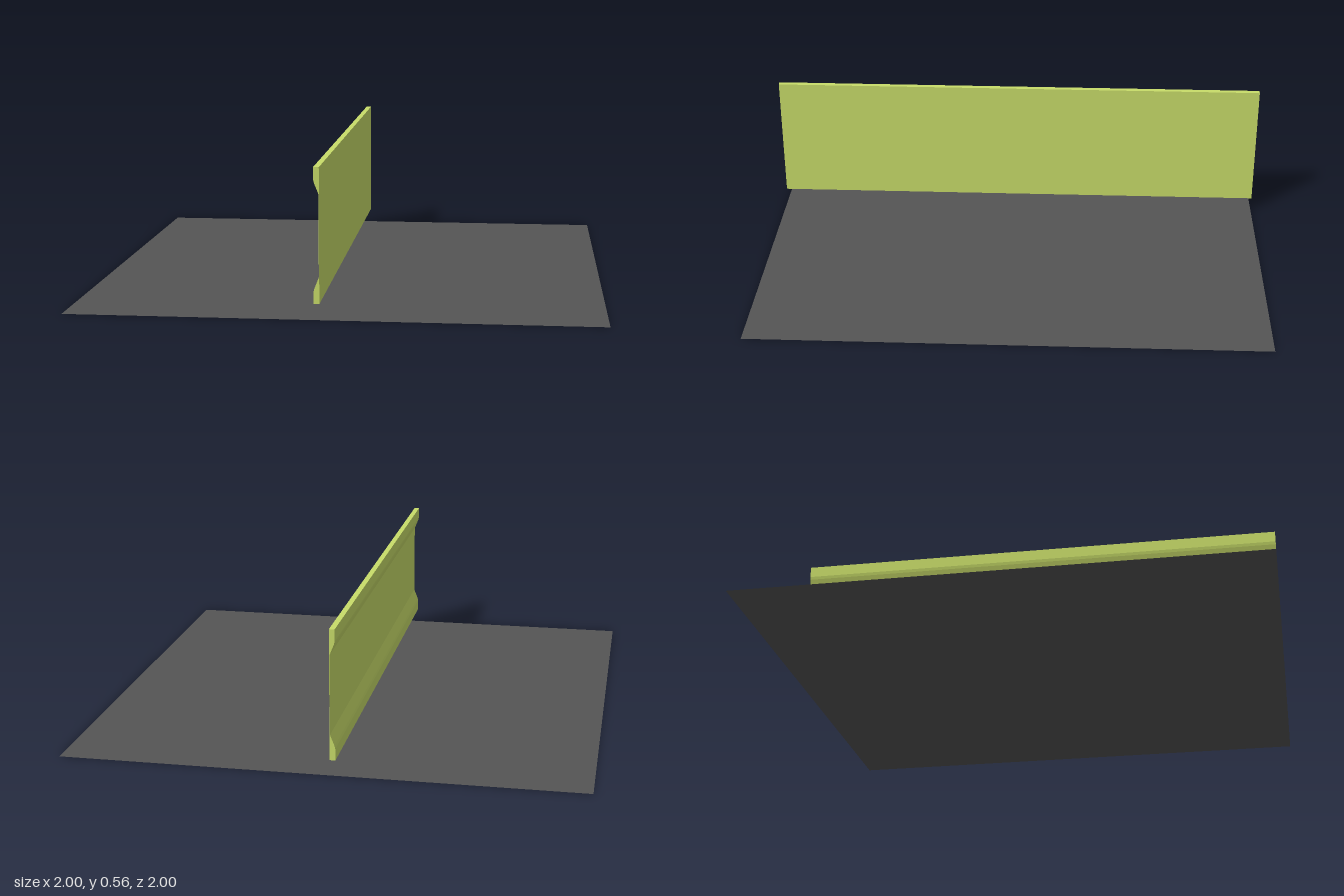
import * as THREE from 'three';

export function createModel() {
  const group = new THREE.Group();

  // Flat ground sheet, visible from both sides
  const floor = new THREE.Mesh(
    new THREE.PlaneGeometry(2, 2).rotateX(-Math.PI / 2),
    new THREE.MeshStandardMaterial({ color: 0x555555, side: THREE.DoubleSide })
  );
  floor.name = 'floor';
  group.add(floor);

  // Panel cross-section: flat on +x, thin web between two bevelled rims on -x
  const flat = -0.043, rim = -0.064, web = -0.0445;
  const bottom = 0.06, top = 0.56;
  const rimSteps = [[rim, 0], [rim, 0.045], [-0.061, 0.057], [web, 0.098]];
  const lower = rimSteps.map(([x, d]) => new THREE.Vector2(x, bottom + d));
  const upper = rimSteps.map(([x, d]) => new THREE.Vector2(x, top - d)).reverse();
  const profile = new THREE.Shape([
    new THREE.Vector2(flat, bottom),
    new THREE.Vector2(flat, top),
    ...upper.reverse(),
    ...lower.reverse(),
  ]);

  // Panel runs the whole depth of the floor
  const panel = new THREE.Mesh(
    new THREE.ExtrudeGeometry(profile, { depth: 2, bevelEnabled: false }).translate(0, 0, -1),
    new THREE.MeshStandardMaterial({ color: 0xc8dc69, flatShading: true })
  );
  panel.name = 'panel';
  group.add(panel);

  return group;
}
